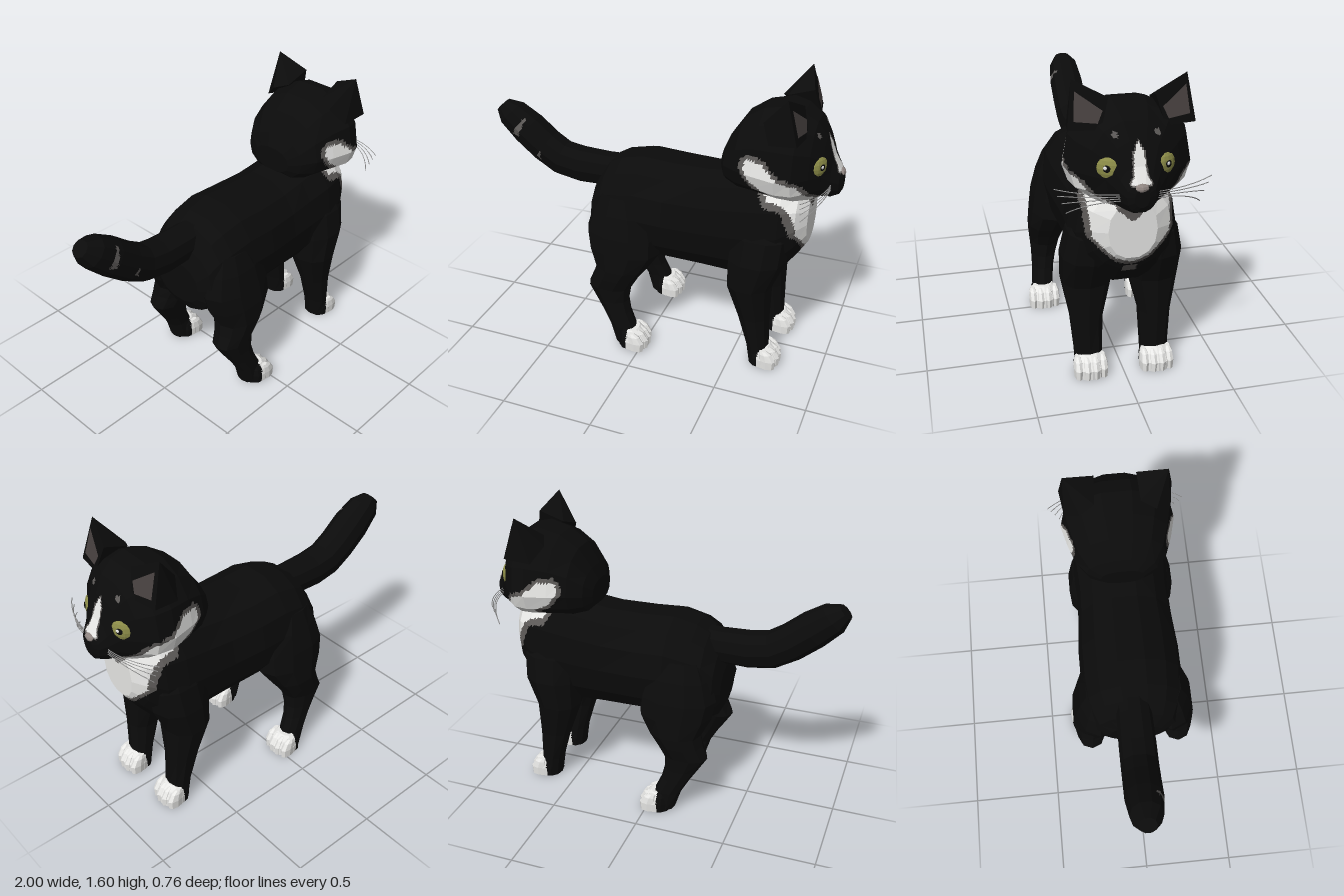
import * as THREE from 'three';
import { ConvexGeometry } from 'three/addons/geometries/ConvexGeometry.js';

const V = (x, y, z) => new THREE.Vector3(x, y, z);
const mat = (name, color, extra = {}) => {
  const m = new THREE.MeshStandardMaterial({ color, flatShading: true, ...extra });
  m.name = name;
  return m;
};

// Ring in the plane across an axis, slightly squared ellipse.
function ring(sides, place) {
  const sq = (v) => Math.sign(v) * Math.abs(v) ** 0.9;
  return Array.from({ length: sides }, (_, i) => {
    const a = (i / sides) * Math.PI * 2;
    return place(sq(Math.cos(a)), sq(Math.sin(a)));
  });
}

// Closed skin over a list of rings; turned outward by its signed volume.
function loft(rings) {
  const tris = [], n = rings[0].length;
  for (let k = 0; k < rings.length - 1; k++) {
    const p = rings[k], q = rings[k + 1];
    for (let i = 0; i < n; i++) {
      const j = (i + 1) % n;
      tris.push([p[i], p[j], q[j]], [p[i], q[j], q[i]]);
    }
  }
  const cap = (r, flip) => {
    const c = r.reduce((s, v) => s.add(v), V(0, 0, 0)).divideScalar(n);
    for (let i = 0; i < n; i++) {
      const j = (i + 1) % n;
      tris.push(flip ? [c, r[j], r[i]] : [c, r[i], r[j]]);
    }
  };
  cap(rings[0], true);
  cap(rings[rings.length - 1], false);
  let vol = 0;
  for (const [a, b, c] of tris) vol += a.dot(b.clone().cross(c));
  if (vol < 0) tris.forEach((t) => t.reverse());
  const g = new THREE.BufferGeometry().setFromPoints(tris.flat());
  g.computeVertexNormals();
  return g;
}

// Sections along x: [x, top, bottom, halfWidth, heightOfWidest]
const loftX = (rows, sides) => loft(rows.map(([x, top, bot, hz, mid = (top + bot) / 2]) =>
  ring(sides, (c, s) => V(x, mid + s * (s > 0 ? top - mid : mid - bot), c * hz))));
// Sections along y: [y, centreX, halfX, centreZ, halfZ]
const loftY = (rows, sides) => loft(rows.map(([y, cx, hx, cz, hz]) =>
  ring(sides, (c, s) => V(cx + c * hx, y, cz + s * hz))));

// Splits faces finely and groups them by a rule giving a material index.
function paint(geo, count, levels, rule) {
  const p = geo.attributes.position, bins = Array.from({ length: count }, () => []);
  const split = (a, b, c, n) => {
    if (n === 0) {
      bins[rule((a.x + b.x + c.x) / 3, (a.y + b.y + c.y) / 3, (a.z + b.z + c.z) / 3)].push(a, b, c);
      return;
    }
    const ab = a.clone().lerp(b, 0.5), bc = b.clone().lerp(c, 0.5), ca = c.clone().lerp(a, 0.5);
    split(a, ab, ca, n - 1); split(ab, b, bc, n - 1);
    split(ca, bc, c, n - 1); split(ab, bc, ca, n - 1);
  };
  for (let i = 0; i < p.count; i += 3)
    split(...[0, 1, 2].map((k) => V().fromBufferAttribute(p, i + k)), levels);
  const g = new THREE.BufferGeometry().setFromPoints(bins.flat());
  let start = 0;
  bins.forEach((b, i) => { if (b.length) g.addGroup(start, b.length, i); start += b.length; });
  g.computeVertexNormals();
  return g;
}

function inside(poly, u, v) {
  let hit = false;
  poly.forEach(([a, b], i) => {
    const [c, d] = poly[(i + 1) % poly.length];
    if (b > v !== d > v && u < ((c - a) * (v - b)) / (d - b) + a) hit = !hit;
  });
  return hit;
}
const near = (poly, u, v, d) =>
  [[d, 0], [-d, 0], [0, d], [0, -d]].some(([a, b]) => inside(poly, u + a, v + b));

export function createModel() {
  const cat = new THREE.Group();
  cat.name = 'cat';
  const black = mat('black fur', 0x0b0b0b), white = mat('white fur', 0xe9e9e7);
  const grey = mat('grey fur edge', 0x5c5957), earSkin = mat('inner ear', 0x463f3e, { side: THREE.DoubleSide });
  const iris = mat('eye green', 0x8c8c48), nosePink = mat('nose', 0x8f8581);
  const whiskerMat = mat('whisker', 0x8a8a8a);
  const coat = [black, white, grey];
  const add = (name, geo, m) => {
    const mesh = new THREE.Mesh(geo, m);
    mesh.name = name;
    cat.add(mesh);
    return mesh;
  };

  // Torso with white bib and belly patch
  const bib = [[-0.01, 0.7], [0.08, 0.73], [0.19, 0.84], [0.21, 1.1], [-0.01, 1.1]];
  const belly = [[0.08, 0], [0.2, 0.09], [0.34, 0.1], [0.42, 0], [0.34, -0.1], [0.2, -0.09]];
  const torso = loftX([
    [-0.36, 0.82, 0.58, 0.15], [-0.33, 0.93, 0.52, 0.22], [-0.27, 1.02, 0.5, 0.25],
    [-0.2, 1.06, 0.49, 0.27], [-0.07, 1.09, 0.5, 0.28], [0.1, 1.08, 0.5, 0.28],
    [0.3, 1.08, 0.49, 0.265], [0.45, 1.1, 0.48, 0.26], [0.6, 1.13, 0.49, 0.27],
    [0.72, 1.12, 0.54, 0.25], [0.8, 1.08, 0.65, 0.2], [0.85, 1.02, 0.73, 0.12]], 14);
  add('torso', paint(torso, 3, 3, (x, y, z) => {
    const w = Math.abs(z), edge = 0.63 + (1.05 - y) * 0.5;
    if (y < 0.56 && x < 0.5) return inside(belly, x, z) ? 1 : near(belly, x, z, 0.035) ? 2 : 0;
    if (x > 0.6 && w < 0.035 && y > 0.63 && y < 0.675) return 2;
    if (x > 0.75 && y > 0.93 + Math.max(0, w - 0.01) * 0.9 && w < 0.08) return 2;
    if (x > edge && inside(bib, w, y)) return 1;
    return x > edge - 0.03 && near(bib, w, y, 0.025) ? 2 : 0;
  }), coat);

  // Head with cheek patches and blaze
  const cheek = [[0.53, 1.2], [0.54, 1.26], [0.63, 1.255], [0.72, 1.18], [0.8, 1.15],
    [0.84, 1.08], [0.88, 1.04], [0.86, 0.97], [0.68, 0.97], [0.66, 1.09], [0.57, 1.14]];
  const blaze = [[-0.01, 1.36], [0.022, 1.3], [0.03, 1.2], [0.05, 1.165], [-0.01, 1.165]];
  const head = loftX([
    [0.38, 1.22, 1.08, 0.12, 1.15], [0.41, 1.29, 1.04, 0.19, 1.17], [0.48, 1.4, 1.02, 0.245, 1.18],
    [0.58, 1.47, 1.02, 0.28, 1.18], [0.7, 1.5, 1.01, 0.31, 1.18], [0.78, 1.48, 1.0, 0.29, 1.18],
    [0.85, 1.43, 1.0, 0.22, 1.18], [0.9, 1.35, 1.01, 0.145, 1.17], [0.94, 1.24, 1.01, 0.1, 1.13],
    [0.98, 1.17, 1.03, 0.07, 1.11], [0.995, 1.15, 1.06, 0.035, 1.11]], 14);
  add('head', paint(head, 3, 3, (x, y, z) => {
    const w = Math.abs(z);
    if (x > 0.8 && y > 1.15) {
      if (inside(blaze, w, y)) return 1;
      if (near(blaze, w, y, 0.008) || Math.hypot(w - 0.1, y - 1.37) < 0.015) return 2;
    }
    if (inside(cheek, x, y)) return 1;
    return near(cheek, x, y, 0.025) ? 2 : 0;
  }), coat);
  const nose = add('nose', new THREE.SphereGeometry(1, 8, 6), nosePink);
  nose.scale.set(0.025, 0.022, 0.038);
  nose.position.set(0.977, 1.15, 0);

  // Tail, bent upward and rounded at the tip
  const tail = loft([
    [-0.2, 0.94, 0.09, 1.57], [-0.32, 0.93, 0.095, 1.57], [-0.48, 0.93, 0.1, 1.52],
    [-0.6, 0.95, 0.1, 1.25], [-0.7, 1.01, 0.1, 0.95], [-0.81, 1.1, 0.1, 0.86],
    [-0.91, 1.18, 0.085, 0.8], [-0.965, 1.222, 0.045, 0.8]].map(([x, y, r, a]) =>
    ring(10, (c, s) => V(x + s * r * Math.cos(a), y + s * r * Math.sin(a), -0.01 + c * r))));
  const marks = [[[-0.79, 1.18], [-0.81, 1.18], [-0.87, 1.09], [-0.83, 1.08]],
    [[-0.69, 1.02], [-0.7, 0.96], [-0.72, 0.98]]];
  add('tail', paint(tail, 3, 3, (x, y, z) =>
    (z > 0.03 && marks.some((m) => inside(m, x, y)) ? 2 : 0)), coat);

  // Inner ear plane: x for a given height and side distance
  const earX = (y, z) => 0.74 - 0.3 * (y - 1.6) - 0.153 * (z - 0.27);

  for (const s of [1, -1]) {
    const side = s > 0 ? 'near' : 'far';

    // Legs: [y, centreX, halfX, centreZ, halfZ]
    const legs = {
      frontLeg: [[0.9, 0.62, 0.1, 0.14, 0.08], [0.8, 0.62, 0.16, 0.16, 0.12], [0.66, 0.61, 0.16, 0.17, 0.14],
        [0.5, 0.58, 0.125, 0.175, 0.13], [0.3, 0.615, 0.088, 0.18, 0.085],
        [0.12, 0.645, 0.062, 0.175, 0.075], [0.01, 0.66, 0.06, 0.175, 0.07]],
      hindLeg: [[0.9, -0.15, 0.12, 0.18, 0.08], [0.8, -0.14, 0.18, 0.19, 0.11], [0.68, -0.14, 0.215, 0.2, 0.13],
        [0.58, -0.13, 0.205, 0.215, 0.13], [0.48, -0.14, 0.145, 0.24, 0.115], [0.42, -0.17, 0.13, 0.25, 0.1],
        [0.35, -0.205, 0.125, 0.255, 0.085], [0.27, -0.185, 0.095, 0.265, 0.07],
        [0.2, -0.155, 0.08, 0.275, 0.062], [0.12, -0.115, 0.075, 0.285, 0.06], [0.01, -0.1, 0.055, 0.285, 0.06]],
    };
    for (const [name, rows] of Object.entries(legs)) {
      const flip = rows.map(([y, cx, hx, cz, hz]) => [y, cx, hx, cz * s, hz]);
      add(`${side} ${name}`, loftY(flip, 10), black);

      // Paw: dark heel, white front, four toes and a pad
      const px = name === 'frontLeg' ? 0.685 : -0.05, pz = s * (name === 'frontLeg' ? 0.175 : 0.29);
      const paw = loftY([[0, px, 0.085, pz, 0.082], [0.05, px, 0.085, pz, 0.085],
        [0.09, px - 0.01, 0.07, pz, 0.075], [0.115, px - 0.02, 0.05, pz, 0.055]], 12);
      add(`${side} ${name} paw`, paint(paw, 3, 2, (x) => (x > px - 0.02 ? 1 : 0)), coat);
      for (const t of [-1.5, -0.5, 0.5, 1.5]) {
        const tz = pz + t * 0.043, tx = px + 0.05 - Math.abs(t) * 0.012;
        add(`${side} ${name} toe`, loftY([[0, tx, 0.045, tz, 0.022], [0.05, tx, 0.049, tz, 0.025],
          [0.09, tx - 0.012, 0.036, tz, 0.021], [0.108, tx - 0.025, 0.02, tz, 0.012]], 8), white);
      }
      const pad = add(`${side} ${name} pad`, new THREE.BoxGeometry(0.05, 0.004, 0.05), grey);
      pad.position.set(px, 0.001, pz);
    }

    // Ear shell and inner plate
    const shell = [[1.6, 0.27], [1.52, 0.11], [1.38, 0.3], [1.38, 0.15]].map(([y, z]) => V(earX(y, z), y, z * s));
    shell.push(V(0.61, 1.44, 0.2 * s), V(0.66, 1.36, 0.28 * s), V(0.65, 1.47, 0.12 * s));
    add(`${side} ear`, new ConvexGeometry(shell), black);
    const q = [[1.55, 0.26], [1.465, 0.14], [1.41, 0.165], [1.42, 0.272]].map(([y, z]) => V(earX(y, z) + 0.006, y, z * s));
    const plate = new THREE.BufferGeometry().setFromPoints(
      s > 0 ? [q[0], q[2], q[1], q[0], q[3], q[2]] : [q[0], q[1], q[2], q[0], q[2], q[3]]);
    plate.computeVertexNormals();
    if (plate.attributes.normal.getX(0) < 0) plate.index = null;
    add(`${side} inner ear`, plate, earSkin);

    // Eye with small pupil and highlight, turned outward
    const eye = new THREE.Group();
    eye.name = `${side} eye`;
    const ball = (name, r, flat, m, x, y, z) => {
      const b = new THREE.Mesh(new THREE.SphereGeometry(r, 12, 8), m);
      b.name = name;
      b.scale.x = flat;
      b.position.set(x, y, z);
      eye.add(b);
    };
    ball('iris', 0.058, 0.45, iris, 0, 0, 0);
    ball('pupil', 0.018, 0.4, black, 0.023, 0.005, 0);
    ball('highlight', 0.009, 0.4, white, 0.029, 0.01, 0.006);
    eye.position.set(0.885, 1.22, 0.133 * s);
    eye.rotation.y = -0.5 * s;
    cat.add(eye);

    // Whiskers sweeping back
    for (const [y0, y1, z1] of [[1.11, 1.125, 0.375], [1.1, 1.09, 0.36], [1.09, 1.05, 0.34], [1.08, 1.0, 0.32]]) {
      const path = new THREE.QuadraticBezierCurve3(V(0.945, y0, 0.07 * s), V(0.95, y0 + 0.01, 0.24 * s), V(0.85, y1, z1 * s));
      add(`${side} whisker`, new THREE.TubeGeometry(path, 8, 0.0025, 4), whiskerMat);
    }
  }
  return cat;
}
